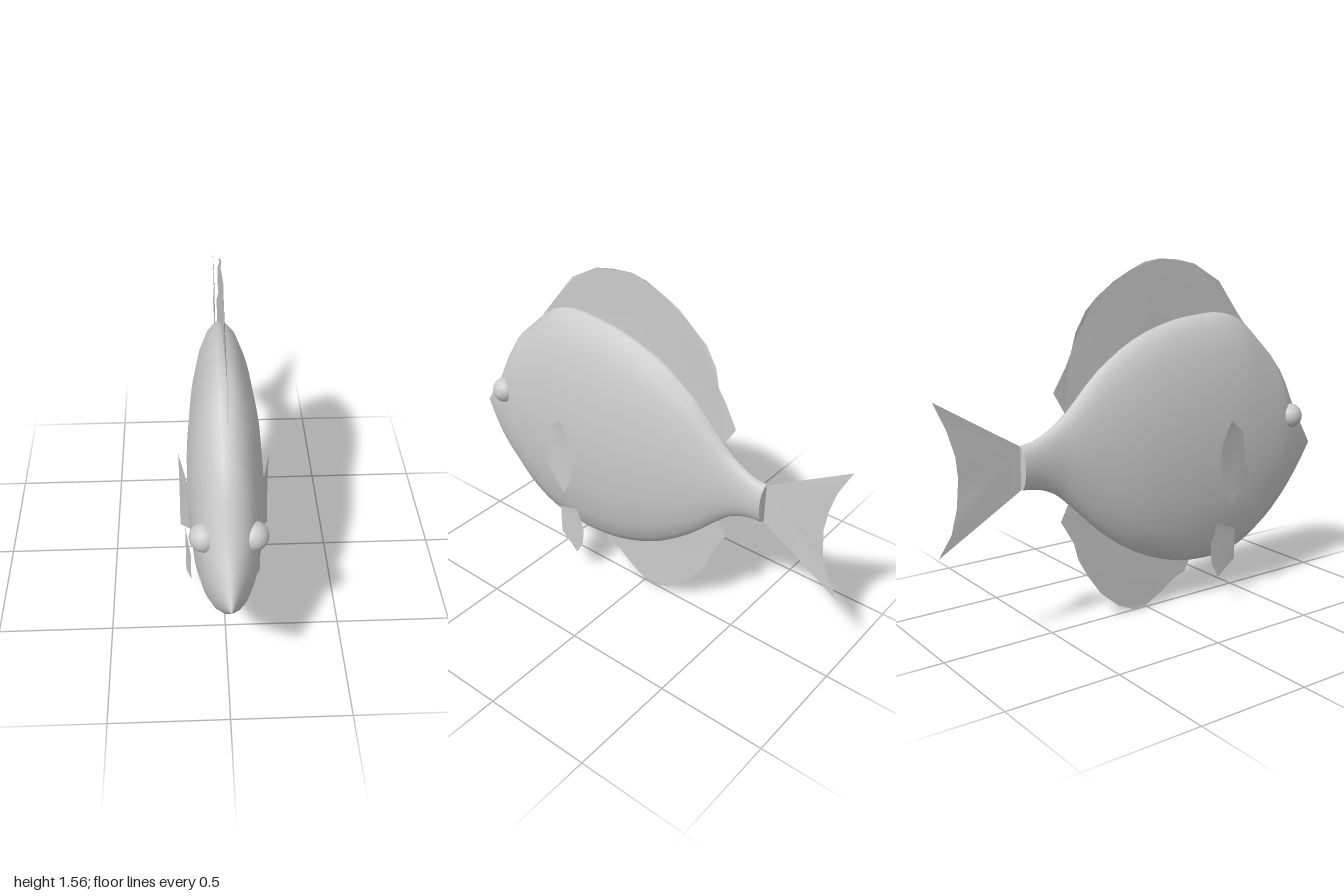
import * as THREE from 'three';

const grey = new THREE.MeshStandardMaterial({ color: 0xcccccc });
const finGrey = new THREE.MeshStandardMaterial({ color: 0xcccccc, side: THREE.DoubleSide });

function add(parent, name, geometry, material = grey) {
  const mesh = new THREE.Mesh(geometry, material);
  mesh.name = name;
  parent.add(mesh);
  return mesh;
}

// Body stations from nose to tail root: z, top y, bottom y, half width
const STATIONS = [
  [1.0, 0.637, 0.633, 0.003], [0.93, 0.74, 0.555, 0.045], [0.86, 0.84, 0.475, 0.082],
  [0.74, 1.06, 0.35, 0.122], [0.63, 1.17, 0.26, 0.141], [0.51, 1.272, 0.2, 0.152],
  [0.4, 1.31, 0.178, 0.155], [0.27, 1.307, 0.178, 0.153], [0.13, 1.288, 0.2, 0.146],
  [-0.075, 1.22, 0.28, 0.125], [-0.26, 1.1, 0.41, 0.089], [-0.41, 0.945, 0.555, 0.056],
  [-0.47, 0.895, 0.605, 0.047], [-0.53, 0.86, 0.633, 0.042], [-0.58, 0.84, 0.645, 0.042],
  [-0.63, 0.832, 0.65, 0.044],
];
const SIDES = 20;

// Elliptical rings lofted through the stations
function bodyGeometry() {
  const pick = f => new THREE.CatmullRomCurve3(STATIONS.map(f));
  const upper = pick(([z, t, , w]) => new THREE.Vector3(w, t, z));
  const lower = pick(([z, , b, w]) => new THREE.Vector3(w, b, z));
  const rings = (STATIONS.length - 1) * 3;
  const pos = [], index = [];
  for (let i = 0; i <= rings; i++) {
    const u = upper.getPoint(i / rings), l = lower.getPoint(i / rings);
    const h = (u.y - l.y) / 2 / Math.cos(Math.PI / SIDES);
    for (let j = 0; j < SIDES; j++) {
      const t = (j + 0.5) / SIDES * Math.PI * 2;
      pos.push(u.x * Math.sin(t), (u.y + l.y) / 2 + h * Math.cos(t), u.z);
      if (i === rings) continue;
      const a = i * SIDES + j, b = i * SIDES + (j + 1) % SIDES;
      index.push(a, b, a + SIDES, b, b + SIDES, a + SIDES);
    }
  }
  const g = new THREE.BufferGeometry();
  g.setAttribute('position', new THREE.Float32BufferAttribute(pos, 3));
  g.setIndex(index);
  g.computeVertexNormals();
  return g;
}

// Thin sheet from a [z, y] outline; offset(z, y, i) gives its x
function finGeometry(outline, offset) {
  const g = new THREE.ShapeGeometry(new THREE.Shape(outline.map(p => new THREE.Vector2(...p))));
  const p = g.attributes.position;
  for (let i = 0; i < p.count; i++) {
    const z = p.getX(i), y = p.getY(i);
    p.setXYZ(i, offset(z, y, i), y, z);
  }
  g.computeVertexNormals();
  return g;
}

const DORSAL = [
  [0.63, 1.165], [0.52, 1.3], [0.4, 1.45], [0.26, 1.53], [0.17, 1.55], [0.07, 1.557],
  [-0.01, 1.545], [-0.09, 1.51], [-0.17, 1.47], [-0.25, 1.41], [-0.31, 1.355], [-0.36, 1.27],
  [-0.38, 1.19], [-0.41, 1.135], [-0.47, 1.03], [-0.41, 0.93], [-0.25, 1.06], [0, 1.2], [0.4, 1.25],
];
const ANAL = [
  [0.26, 0.2], [0.22, 0.12], [0.165, 0.107], [0.08, 0.05], [0.005, 0.01], [-0.065, 0],
  [-0.15, 0.037], [-0.25, 0.12], [-0.32, 0.22], [-0.36, 0.295], [-0.385, 0.375],
  [-0.445, 0.48], [-0.4, 0.565], [-0.25, 0.44], [-0.075, 0.32], [0.1, 0.24],
];
const TAIL = [
  [-0.625, 0.828], [-1, 1.05], [-0.945, 0.935], [-0.915, 0.83], [-0.905, 0.74],
  [-0.915, 0.62], [-0.945, 0.52], [-1, 0.43], [-0.625, 0.652],
];
const PECTORAL = [
  [0.45, 0.77], [0.33, 0.85], [0.285, 0.76], [0.26, 0.665], [0.285, 0.55], [0.335, 0.465], [0.47, 0.565],
];
const PELVIC = [
  [0.395, 0.335], [0.27, 0.385], [0.235, 0.29], [0.24, 0.2], [0.28, 0.13], [0.395, 0.19],
];

export function createModel() {
  const fish = new THREE.Group();
  fish.name = 'fish';

  add(fish, 'body', bodyGeometry());
  const cap = add(fish, 'bodyEnd', new THREE.CircleGeometry(1, SIDES, Math.PI / SIDES));
  cap.scale.set(0.044, 0.091, 1);
  cap.position.set(0, 0.741, -0.63);
  cap.rotation.y = Math.PI;

  // Middle fins, slightly rippled
  const ripple = (z, y, i) => 0.004 * Math.sin(i * 2.3);
  add(fish, 'dorsalFin', finGeometry(DORSAL, ripple), finGrey);
  add(fish, 'analFin', finGeometry(ANAL, ripple), finGrey);
  add(fish, 'tailFin', finGeometry(TAIL, ripple), finGrey);

  // Paired parts; the side fins flare out behind their roots
  for (const [side, s] of [['left', 1], ['right', -1]]) {
    add(fish, side + 'Eye', new THREE.SphereGeometry(0.058, 20, 14)).position.set(s * 0.094, 0.808, 0.775);
    add(fish, side + 'PectoralFin', finGeometry(PECTORAL, z => s * (z > 0.4 ? 0.148 : 0.187)), finGrey);
    add(fish, side + 'PelvicFin', finGeometry(PELVIC, z => s * (z > 0.35 ? 0.146 : 0.168)), finGrey);
  }
  return fish;
}
